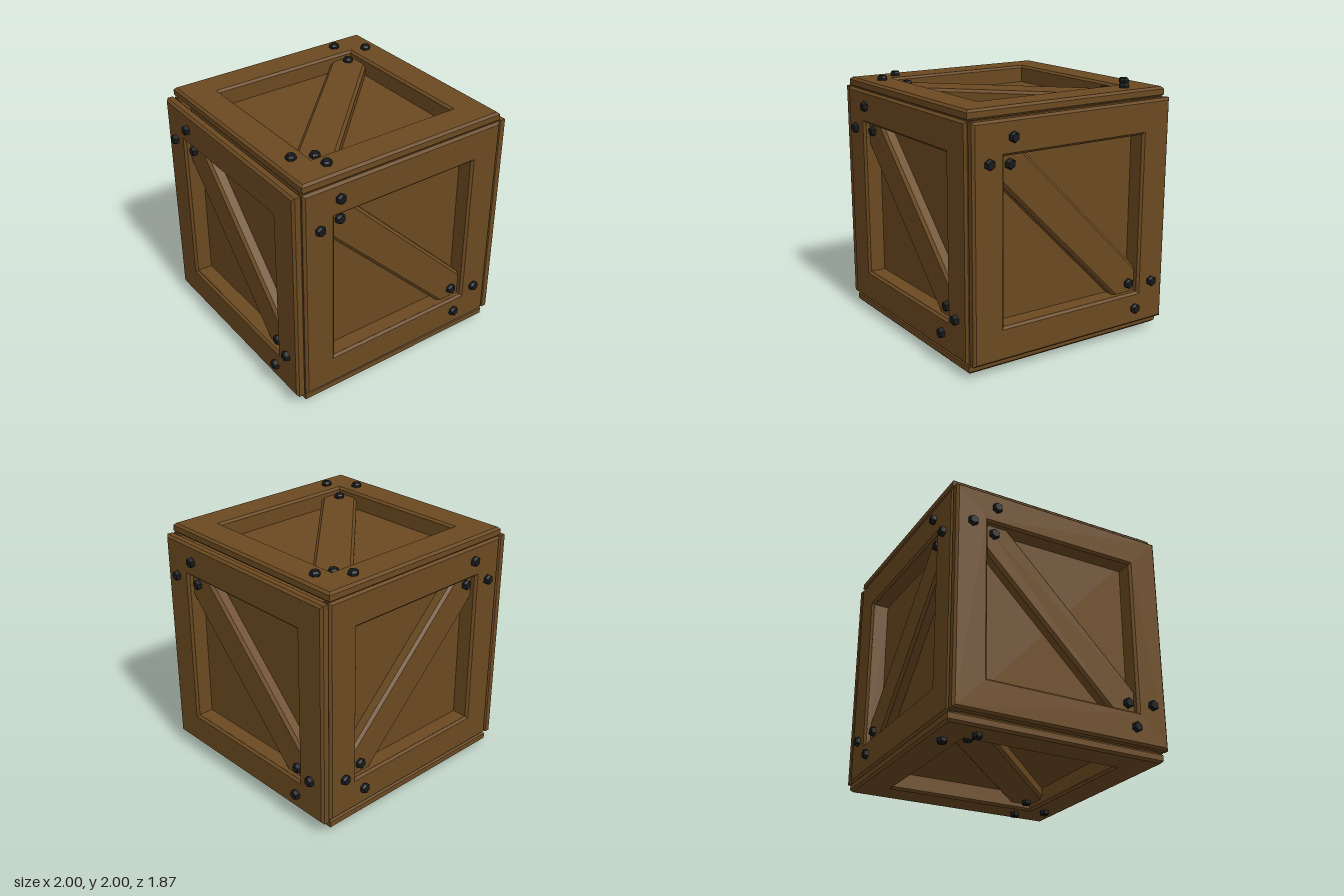
import * as THREE from 'three';

const wood = new THREE.MeshStandardMaterial({ color: 0x6b4a21 });
wood.name = 'brown wood';
const iron = new THREE.MeshStandardMaterial({ color: 0x17191b });
iron.name = 'black iron';

const OUTER = 0.89, HOLE = 0.63, BEVEL = 0.018;
const THICK = 0.08;        // frame board thickness
const RECESS = 0.14;       // depth of the backing below the frame face
const BRACE_DEPTH = 0.05;  // depth of the brace face below the frame face
const REACH = { x: 0.965, y: 0.965, z: 0.9 };

function polygon(points) {
  return new THREE.Shape(points.map(([u, v]) => new THREE.Vector2(u, v)));
}

function square(h) {
  return polygon([[-h, -h], [h, -h], [h, h], [-h, h]]);
}

// Chamfered slab whose outer face lies on z = top
function slab(shape, top, thick, bevel) {
  const geometry = new THREE.ExtrudeGeometry(shape, {
    depth: thick - 2 * bevel,
    bevelEnabled: bevel > 0,
    bevelThickness: bevel,
    bevelSize: bevel,
    bevelOffset: -bevel,
    bevelSegments: 1,
  });
  return geometry.translate(0, 0, top - thick + bevel);
}

function ring(outer, inner, top, thick, bevel) {
  const shape = square(outer);
  shape.holes.push(square(inner));
  return slab(shape, top, thick, bevel);
}

// Diagonal strip from upper left to lower right, mirrored when side is -1
function braceShape(side) {
  const h = 0.66, c = 0.205;
  return polygon([
    [-h, h], [-h, h - c], [h - c, -h], [h, -h], [h, c - h], [c - h, h],
  ].map(([u, v]) => [u * side, v]));
}

// Six-sided bolt head pointing along +z
function boltGeometry() {
  const profile = [[0.041, -0.01], [0.041, 0.022], [0.032, 0.035], [0, 0.035]]
    .map(([r, y]) => new THREE.Vector2(r, y));
  const geometry = new THREE.LatheGeometry(profile, 6).toNonIndexed();
  geometry.computeVertexNormals();
  return geometry.rotateX(Math.PI / 2);
}

function add(parent, geometry, material, name) {
  const mesh = new THREE.Mesh(geometry, material);
  mesh.name = name;
  parent.add(mesh);
  return mesh;
}

// One crate face, facing +z with its frame face on z = 0
function createPanel(name, side, bolts, boltHead) {
  const panel = new THREE.Group();
  panel.name = name;
  add(panel, ring(OUTER, HOLE, 0, THICK, BEVEL), wood, 'frame');
  add(panel, ring(0.72, HOLE - 0.001, -0.02, RECESS - 0.015, 0), wood, 'frameLining');
  add(panel, slab(braceShape(side), -BRACE_DEPTH, 0.12, 0.022), wood, 'diagonalBrace');
  for (const [u, v] of bolts) {
    const onBrace = Math.abs(u) < HOLE && Math.abs(v) < HOLE;
    add(panel, boltHead, iron, 'bolt').position.set(u * side, v, onBrace ? -BRACE_DEPTH : 0);
  }
  return panel;
}

export function createModel() {
  const crate = new THREE.Group();
  crate.name = 'crate';
  const body = new THREE.Group();
  body.name = 'body';
  body.position.y = 1;
  crate.add(body);

  // Inner box that forms the recessed backing of every face
  add(body, new THREE.BoxGeometry(
    2 * (REACH.x - RECESS), 2 * (REACH.y - RECESS), 2 * (REACH.z - RECESS)), wood, 'innerBox');

  // Bolt layouts for a brace from upper left to lower right
  const endBolts = [[-0.59, 0.77], [-0.76, 0.57], [-0.56, 0.57], [0.55, -0.55], [0.75, -0.58], [0.55, -0.75]];
  const sideBolts = [[-0.56, 0.76], [-0.76, 0.59], [-0.56, 0.56], [0.57, -0.56], [0.76, -0.56], [0.6, -0.76]];
  const lidBolts = [[-0.56, 0.77], [-0.76, 0.6], [-0.56, 0.57], [0.75, -0.55], [0.55, -0.55], [0.59, -0.75]];
  const boltHead = boltGeometry();

  const place = (name, side, bolts, rotation, position) => {
    const panel = createPanel(name, side, bolts, boltHead);
    panel.rotation.set(...rotation);
    panel.position.set(...position);
    body.add(panel);
    return panel;
  };

  const q = Math.PI / 2, shift = -0.006;
  place('frontPanel', 1, endBolts, [0, 0, 0], [0, 0, REACH.z]);
  place('backPanel', -1, endBolts, [0, Math.PI, 0], [0, 0, -REACH.z]);
  place('leftPanel', 1, sideBolts, [0, q, 0], [REACH.x, 0, shift]);
  place('rightPanel', 1, sideBolts, [0, -q, 0], [-REACH.x, 0, shift]);
  place('topPanel', -1, lidBolts, [-q, 0, 0], [0, REACH.y, shift]);

  // The bottom is the top turned half way round the z axis
  const bottom = place('bottomPanel', -1, lidBolts, [0, 0, 0], [0, -REACH.y, shift]);
  bottom.quaternion.setFromAxisAngle(new THREE.Vector3(0, 0, 1), Math.PI)
    .multiply(new THREE.Quaternion().setFromAxisAngle(new THREE.Vector3(1, 0, 0), -q));

  return crate;
}
